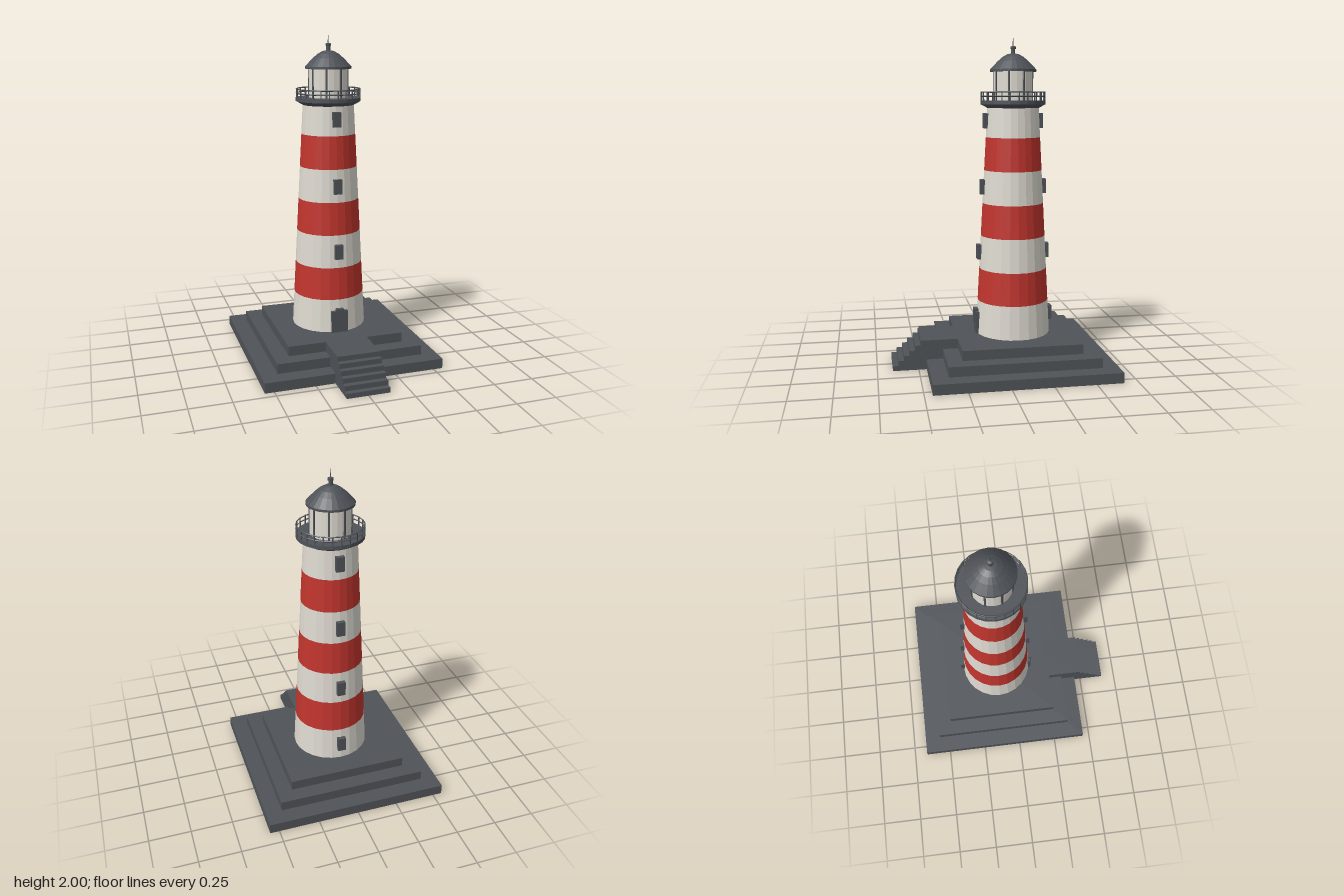
import * as THREE from 'three';

const mat = (name, color) => {
  const m = new THREE.MeshStandardMaterial({ color, flatShading: true, side: THREE.DoubleSide });
  m.name = name;
  return m;
};

export function createModel() {
  const cream = mat('cream', 0xdfdbd2);
  const red = mat('red', 0xc2352e);
  const slate = mat('slate', 0x4f5358);

  const model = new THREE.Group();
  model.name = 'lighthouse';
  const tower = new THREE.Group();
  tower.name = 'tower';
  tower.position.z = -0.105;
  model.add(tower);

  const add = (parent, name, geometry, material, x = 0, y = 0, z = 0) => {
    const mesh = new THREE.Mesh(geometry, material);
    mesh.name = name;
    mesh.position.set(x, y, z);
    parent.add(mesh);
    return mesh;
  };
  const box = (parent, name, w, y0, y1, z0, z1) =>
    add(parent, name, new THREE.BoxGeometry(w, y1 - y0, z1 - z0), slate, 0, (y0 + y1) / 2, (z0 + z1) / 2);
  const lathe = (name, pts, material, sides = 24) =>
    add(tower, name, new THREE.LatheGeometry(pts.map(p => new THREE.Vector2(...p)), sides), material);

  // Stepped plinth: three slabs, hollow underneath
  [[0.557, 0, 0.062], [0.457, 0.062, 0.122], [0.365, 0.122, 0.182]].forEach(([h, y0, y1], i) => {
    const slab = box(tower, 'plinthTier' + (i + 1), 2 * h, y0, y1, -h, h);
    const index = Array.from(slab.geometry.index.array);
    index.splice(18, 6); // open bottom
    slab.geometry.setIndex(index);
    slab.geometry.clearGroups();
  });

  // Front stairs: a stepped side profile extruded across the width
  const profile = new THREE.Shape();
  const steps = 6, rise = 0.182 / steps, front = 0.657, tread = 0.034;
  profile.moveTo(0.1, 0);
  profile.lineTo(front, 0);
  for (let i = 0; i < steps; i++) {
    profile.lineTo(front - i * tread, (i + 1) * rise);
    if (i < steps - 1) profile.lineTo(front - (i + 1) * tread, (i + 1) * rise);
  }
  profile.lineTo(0.1, 0.182);
  const stairs = new THREE.ExtrudeGeometry(profile, { depth: 0.264, bevelEnabled: false });
  stairs.rotateY(-Math.PI / 2);
  add(model, 'stairs', stairs, slate, 0.132);

  // Tapered wall in alternating bands
  const radiusAt = y => 0.232 - 0.0529 * (y - 0.182);
  const levels = [0.182, 0.39, 0.592, 0.797, 1.0, 1.203, 1.405, 1.6];
  for (let i = 0; i < levels.length - 1; i++) {
    const [a, b] = [levels[i], levels[i + 1]];
    lathe('wallBand' + (i + 1), [[radiusAt(a), a], [radiusAt(b), b]], i % 2 ? red : cream);
  }

  // Windows front and back, and the door
  for (let i = 0; i < 4; i++) {
    const y = 0.29 + i * 0.405, r = radiusAt(y);
    for (const side of [1, -1]) {
      const z = side * r;
      box(tower, side > 0 ? 'frontWindow' : 'backWindow', 0.05, y - 0.045, y + 0.045, z - 0.022, z + 0.022);
    }
  }
  box(tower, 'door', 0.104, 0.182, 0.32, 0.18, 0.24);

  // Gallery deck with flared underside
  lathe('gallery', [[0, 1.578], [0.15, 1.578], [0.2, 1.605], [0.2, 1.627], [0, 1.627]], slate);

  // Railing
  const post = new THREE.BoxGeometry(0.006, 0.055, 0.006);
  for (let i = 0; i < 24; i++) {
    const a = i * Math.PI / 12;
    add(tower, 'railPost', post, slate, 0.196 * Math.sin(a), 1.652, 0.196 * Math.cos(a)).rotation.y = a;
  }
  for (const y of [1.653, 1.678]) {
    const ring = new THREE.TorusGeometry(0.196, 0.004, 4, 24);
    ring.rotateX(Math.PI / 2);
    add(tower, 'handrail', ring, slate, 0, y);
  }

  // Lantern room and its frame bars
  lathe('lanternRoom', [[0.119, 1.627], [0.119, 1.805]], cream);
  const bar = new THREE.BoxGeometry(0.01, 0.178, 0.01);
  for (let i = 0; i < 8; i++) {
    const a = (i + 0.5) * Math.PI / 4;
    add(tower, 'lanternBar', bar, slate, 0.119 * Math.sin(a), 1.716, 0.119 * Math.cos(a)).rotation.y = a;
  }

  // Domed roof, finial and spike
  lathe('roof', [[0, 1.8], [0.141, 1.8], [0.141, 1.814], [0.12, 1.836], [0.095, 1.862],
    [0.065, 1.888], [0.035, 1.905], [0, 1.911]], slate);
  lathe('finial', [[0.013, 1.9], [0.013, 1.935], [0.017, 1.937], [0.017, 1.95], [0, 1.955]], slate, 12);
  lathe('spike', [[0.003, 1.95], [0.002, 2.0], [0, 2.0]], slate, 6);

  return model;
}
